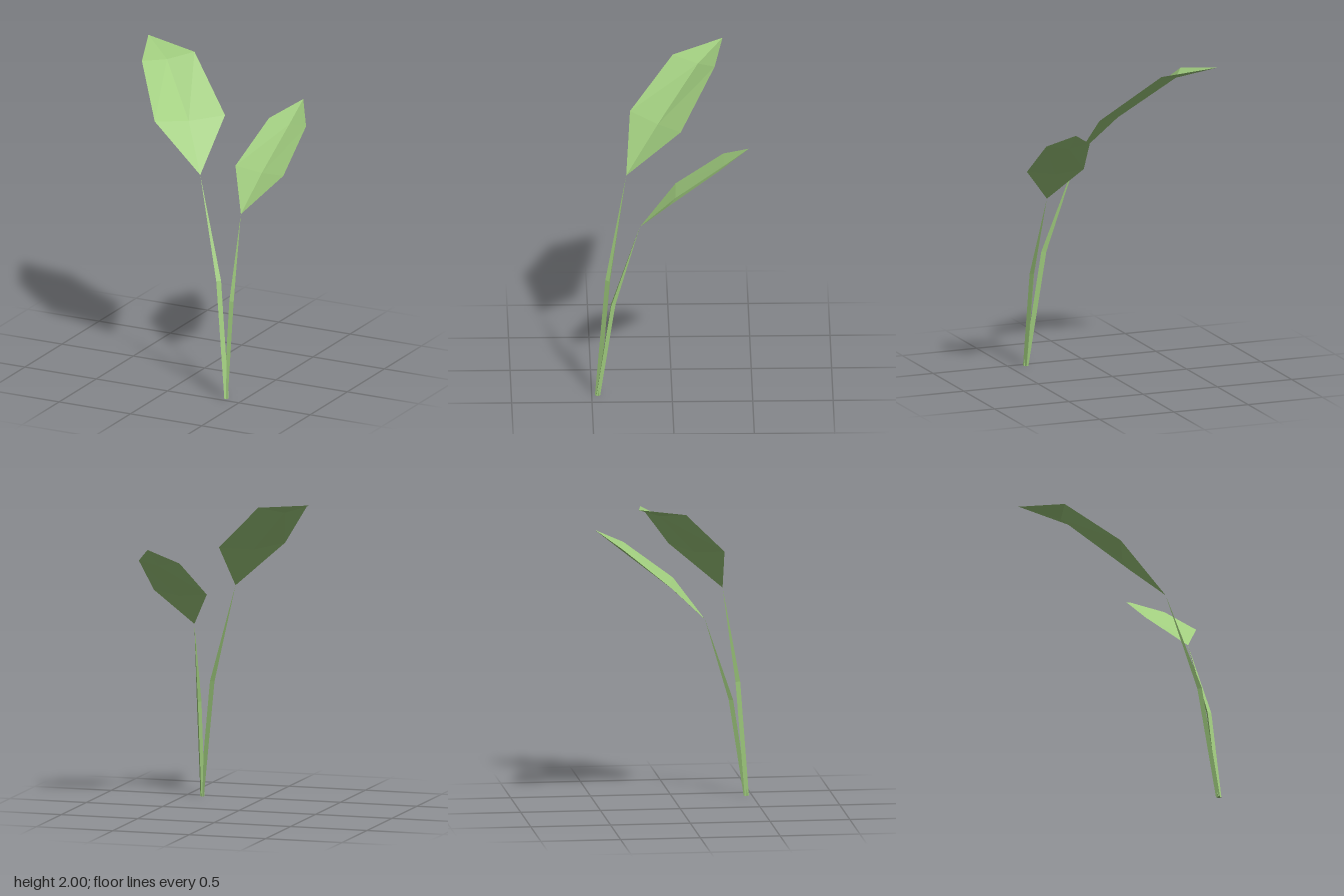
import * as THREE from 'three';

const leafGreen = new THREE.MeshStandardMaterial({ color: 0xa0cc7e, flatShading: true, side: THREE.DoubleSide });
leafGreen.name = 'leafGreen';

// Flat-shaded mesh from points and triangle corners
function facetMesh(name, points, faces) {
  const geometry = new THREE.BufferGeometry();
  geometry.setAttribute('position', new THREE.Float32BufferAttribute(points.flat(), 3));
  geometry.setIndex(faces.flat());
  const flat = geometry.toNonIndexed();
  flat.computeVertexNormals();
  const mesh = new THREE.Mesh(flat, leafGreen);
  mesh.name = name;
  return mesh;
}

// Blade folded along its midrib: base, rows of [left edge, midrib, right edge], tip
function makeBlade(name, base, rows, tip) {
  const points = [base, ...rows.flat(), tip];
  const last = points.length - 1;
  const faces = [];
  for (const side of [0, 1]) {
    faces.push([0, 2 + side, 1 + side]);
    for (let r = 0; r < rows.length - 1; r++) {
      const a = 1 + r * 3 + side;
      faces.push([a, a + 1, a + 4], [a, a + 4, a + 3]);
    }
    faces.push([last - 3 + side, last - 2 + side, last]);
  }
  return facetMesh(name, points, faces);
}

// Three-sided stalk through the centres, narrowing to a point
function makeStem(name, foot, knee, top, radius, turn) {
  const ring = ([x, y, z], r) => [0, 1, 2].map((i) => {
    const a = turn + (i * Math.PI * 2) / 3;
    return [x + r * Math.sin(a), y, z + r * Math.cos(a)];
  });
  const points = [...ring(foot, radius), ...ring(knee, radius * 1.1), top];
  const faces = [[0, 2, 1]];
  for (let i = 0; i < 3; i++) {
    const j = (i + 1) % 3;
    faces.push([i, j, j + 3], [i, j + 3, i + 3], [i + 3, j + 3, 6]);
  }
  return facetMesh(name, points, faces);
}

export function createModel() {
  const plant = new THREE.Group();
  plant.name = 'twoLeafSprout';

  // Tall leaf, arching to the right and back
  const tallLeaf = new THREE.Group();
  tallLeaf.name = 'tallLeaf';
  const tallBase = [0.115, 1.37, 0.28];
  tallLeaf.add(
    makeStem('tallStem', [0.391, 0, 0.463], [0.30, 0.74, 0.395], tallBase, 0.017, -0.2),
    makeBlade('tallBlade', tallBase, [
      [[-0.22, 1.66, 0.25], [-0.07, 1.635, 0.08], [0.112, 1.66, 0.06 * -1]],
      [[-0.45, 1.94, -0.02], [-0.355, 1.92, -0.175], [-0.215, 1.96, -0.277]],
    ], [-0.567, 2, -0.332]),
  );

  // Short leaf, arching backward
  const shortLeaf = new THREE.Group();
  shortLeaf.name = 'shortLeaf';
  const shortBase = [0.358, 1.127, 0.2];
  shortLeaf.add(
    makeStem('shortStem', [0.393, 0, 0.463], [0.385, 0.61, 0.37], shortBase, 0.016, Math.PI),
    makeBlade('shortBlade', shortBase, [
      [[0.203, 1.353, 0.025 * -1], [0.39, 1.335, -0.02], [0.565, 1.358, 0.025]],
      [[0.285, 1.59, -0.32], [0.425, 1.57, -0.325], [0.563, 1.59, -0.285]],
    ], [0.443, 1.692, -0.478]),
  );

  plant.add(tallLeaf, shortLeaf);
  return plant;
}
